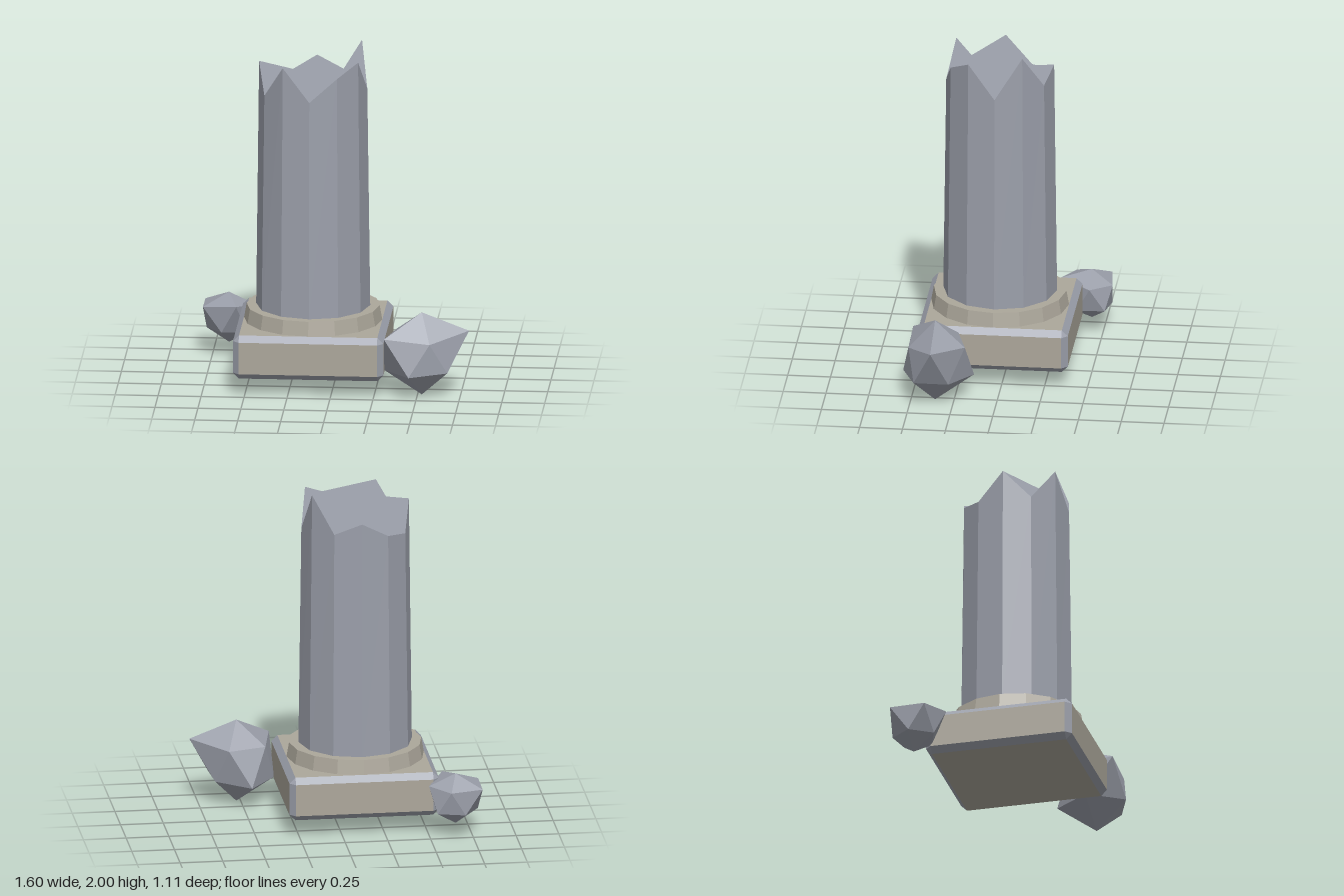
import * as THREE from 'three';
import { ConvexGeometry } from 'three/addons/geometries/ConvexGeometry.js';

const stone = new THREE.MeshStandardMaterial({ color: 0x9b9faa });
stone.name = 'grey stone';
const sand = new THREE.MeshStandardMaterial({ color: 0xaca79b });
sand.name = 'sandy stone';

const CX = -0.13, CZ = 0.05; // column axis

// Faceted geometry from a flat list of corner points, three per triangle
function facets(points) {
  const g = new THREE.BufferGeometry().setFromPoints(points);
  g.computeVertexNormals();
  return g;
}

function mesh(name, geometry, material) {
  const m = new THREE.Mesh(geometry, material);
  m.name = name;
  return m;
}

// Square block with chamfered edges: flat faces sandy, chamfers grey
function chamferedBlock(w, h, d, c) {
  const points = [];
  for (const sx of [-1, 1]) for (const sy of [-1, 1]) for (const sz of [-1, 1]) {
    for (let axis = 0; axis < 3; axis++) {
      const inset = [c, c, c];
      inset[axis] = 0;
      points.push(new THREE.Vector3(
        sx * (w / 2 - inset[0]), sy * (h / 2 - inset[1]), sz * (d / 2 - inset[2])));
    }
  }
  const g = new ConvexGeometry(points);
  const n = g.attributes.normal;
  for (let i = 0; i < n.count; i += 3) {
    const flat = Math.max(Math.abs(n.getX(i)), Math.abs(n.getY(i)), Math.abs(n.getZ(i))) > 0.95;
    g.addGroup(i, 3, flat ? 0 : 1);
  }
  return g;
}

// Broken shaft: twelve flat sides, each corner ending at its own height
function brokenShaft() {
  const heights = [1.745, 1.88, 1.95, 1.75, 2.0, 1.79, 1.86, 1.77, 1.745, 1.905, 1.74, 1.94];
  const n = heights.length;
  const ring = (radius, y) => heights.map((h, i) => {
    const a = (i / n) * Math.PI * 2;
    return new THREE.Vector3(radius * Math.sin(a), y ?? h, radius * Math.cos(a));
  });
  const b = ring(0.332, 0.445), t = ring(0.315);
  const sides = [], cap = [];
  for (let i = 0; i < n; i++) {
    const j = (i + 1) % n;
    sides.push(b[i], b[j], t[j], b[i], t[j], t[i]);
  }
  // the fracture surface fans out from one corner
  for (let k = 2; k < n; k++) cap.push(t[1], t[k], t[(k + 1) % n]);
  const top = facets(cap);
  // one even upward shade across the fracture
  for (let i = 0; i < cap.length; i++) top.attributes.normal.setXYZ(i, 0, 1, 0);

  const group = new THREE.Group();
  group.name = 'shaft';
  group.add(mesh('shaftSides', facets(sides), stone), mesh('brokenTop', top, stone));
  return group;
}

// Rough twenty-sided rock: tip, upper ring of five, lower ring of five, foot
function rock(tip, upper, lower, foot) {
  const v = (p) => new THREE.Vector3(...p);
  const T = v(tip), F = v(foot), U = upper.map(v), L = lower.map(v);
  const tris = [];
  for (let i = 0; i < 5; i++) {
    const j = (i + 1) % 5;
    tris.push(T, U[j], U[i], U[i], U[j], L[i], U[j], L[j], L[i], F, L[i], L[j]);
  }
  return facets(tris);
}

export function createModel() {
  const model = new THREE.Group();
  model.name = 'brokenColumn';

  // Column
  const column = new THREE.Group();
  column.name = 'column';
  column.position.set(CX, 0, CZ);
  const plinth = mesh('plinth', chamferedBlock(0.875, 0.26, 0.875, 0.035), [sand, stone]);
  plinth.position.y = 0.23;
  const collarShape = new THREE.CylinderGeometry(0.387, 0.402, 0.085, 16).toNonIndexed();
  collarShape.computeVertexNormals();
  const collar = mesh('collar', collarShape, sand);
  collar.position.y = 0.4025;
  column.add(plinth, collar, brokenShaft());
  model.add(column);

  // Fallen rocks
  model.add(mesh('largeRock', rock(
    [0.525, 0.495, 0.36],
    [[0.8, 0.39, 0.36], [0.58, 0.34, 0.51], [0.315, 0.368, 0.51], [0.37, 0.36, 0.24], [0.59, 0.358, 0.18]],
    [[0.68, 0.16, 0.47], [0.46, 0.15, 0.553], [0.305, 0.14, 0.35], [0.46, 0.14, 0.14], [0.66, 0.15, 0.27]],
    [0.525, 0.0, 0.36]), stone));
  model.add(mesh('smallRock', rock(
    [-0.655, 0.372, -0.43],
    [[-0.5, 0.3, -0.43], [-0.6, 0.33, -0.25], [-0.8, 0.305, -0.33], [-0.8, 0.3, -0.535], [-0.615, 0.29, -0.555]],
    [[-0.545, 0.15, -0.35], [-0.69, 0.16, -0.3], [-0.785, 0.155, -0.43], [-0.7, 0.15, -0.545], [-0.54, 0.155, -0.515]],
    [-0.655, 0.07, -0.43]), stone));

  return model;
}
